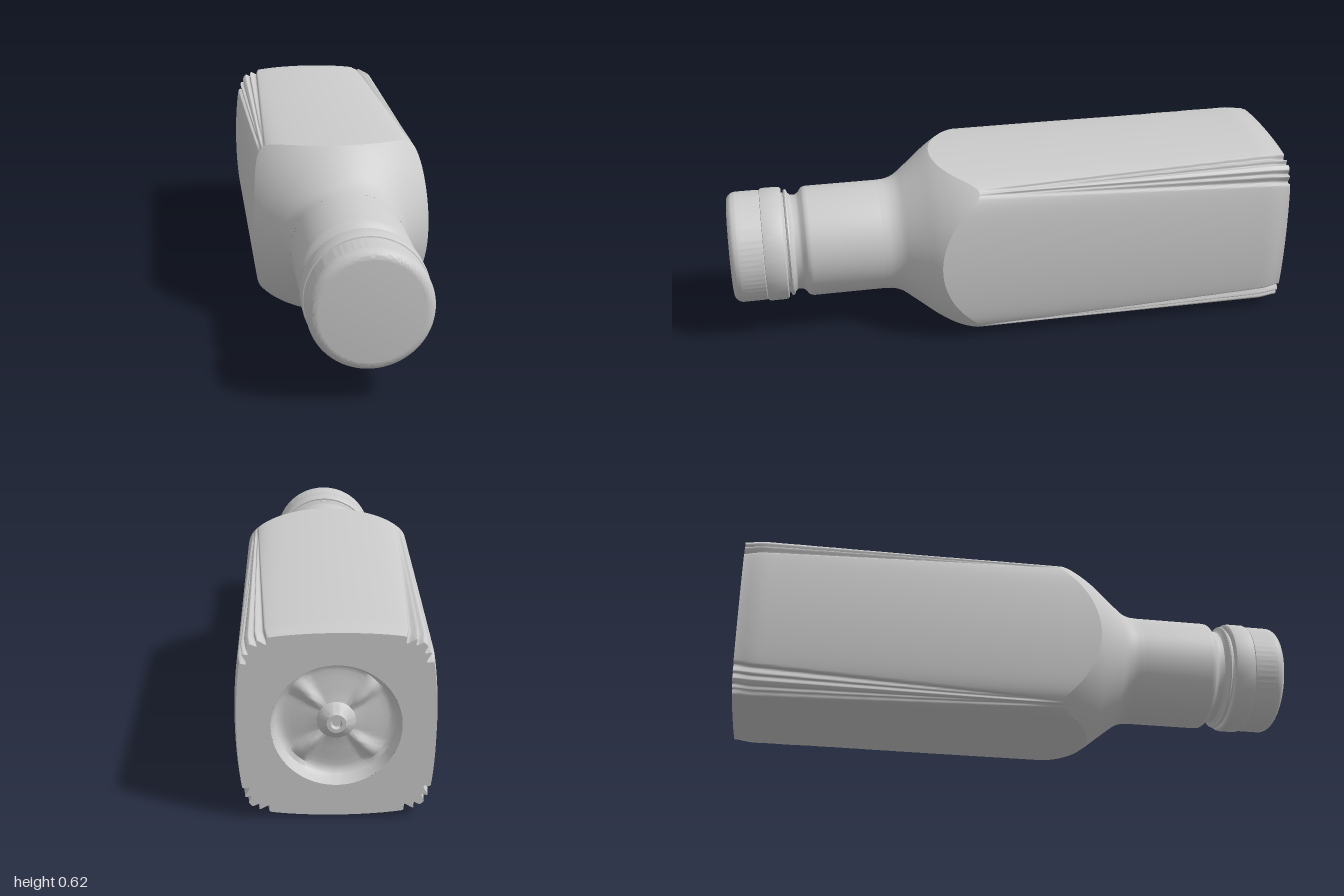
import * as THREE from 'three';
import { toCreasedNormals } from 'three/addons/utils/BufferGeometryUtils.js';

const CY = 0.312; // height of the bottle axis
const material = new THREE.MeshStandardMaterial({ color: 0xcccccc });
const { clamp, lerp, smoothstep } = THREE.MathUtils;

// Angles round the axis, packed closely near the four corners.
const PER = 112;
const cornerAngles = [];
for (let q = 0; q < 4; q++) {
  for (let i = 0; i < PER; i++) {
    const u = (i / PER) * 2 - 1;
    cornerAngles.push((q + 0.5 + 0.5 * Math.sign(u) * u * u) * Math.PI / 2);
  }
}
const evenAngles = n => Array.from({ length: n }, (_, i) => i / n * Math.PI * 2);

// Closed skin from rings: point(row, angle) gives [radius, z].
function skin(name, rows, angles, point, crease = 0) {
  const n = angles.length, pos = [], index = [];
  for (let i = 0; i < rows; i++) {
    for (const a of angles) {
      const [r, z] = point(i, a);
      pos.push(r * Math.cos(a), r * Math.sin(a), z);
    }
  }
  for (let i = 0; i < rows - 1; i++) {
    for (let j = 0; j < n; j++) {
      const a = i * n + j, b = i * n + (j + 1) % n;
      index.push(a, b, a + n, b, b + n, a + n);
    }
  }
  let g = new THREE.BufferGeometry();
  g.setAttribute('position', new THREE.Float32BufferAttribute(pos, 3));
  g.setIndex(index);
  if (crease) g = toCreasedNormals(g, crease);
  else g.computeVertexNormals();
  const mesh = new THREE.Mesh(g, material);
  mesh.name = name;
  return mesh;
}

// Rounded square section with gently bulged sides.
function sectionRadius(a) {
  const side = (c, s) => {
    const k = 0.3 * s * s;
    return k < 1e-6 ? 0.312 / c : (-c + Math.sqrt(c * c + 4 * k * 0.312)) / (2 * k);
  };
  const c = Math.abs(Math.cos(a)), s = Math.abs(Math.sin(a)), p = 12;
  return (side(c, s) ** -p + side(s, c) ** -p) ** (-1 / p);
}

// Body radius with tapering grooves along the corners and a slight inset at the base.
function bodyRadius(a, z) {
  const t = clamp((0.13 - z) / 1.13, 0, 1);
  const quarter = Math.PI / 2;
  const d = Math.abs((a % quarter) - quarter / 2) * 180 / Math.PI;
  const dip = (c, w) => Math.max(0, 1 - ((d - c) / w) ** 2) ** 2;
  const grooves = dip(1.2 + 6 * t, 0.9 + 1.4 * t) + 0.8 * dip(0.7 + 2.3 * t, 0.6 + 1.2 * t);
  const depth = (0.006 + 0.01 * t) * smoothstep(t, 0, 0.1);
  const foot = smoothstep(-z, 0.93, 1);
  return sectionRadius(a) - grooves * depth * (1 + 0.5 * foot) - 0.008 * foot;
}

// Shoulder profile as [z, r], sampled from a smooth curve.
const shoulder = new THREE.CatmullRomCurve3([
  [0.08, 0.398], [0.15, 0.377], [0.21, 0.35], [0.27, 0.312], [0.32, 0.272],
  [0.365, 0.236], [0.395, 0.214], [0.425, 0.203], [0.46, 0.2],
].map(([z, r]) => new THREE.Vector3(z, r, 0))).getPoints(120);

// Interpolate along the shoulder: find one coordinate from the other.
function onShoulder(from, value, to) {
  for (let i = 1; i < shoulder.length; i++) {
    const p = shoulder[i - 1], q = shoulder[i];
    if ((p[from] - value) * (q[from] - value) <= 0 && p[from] !== q[from]) {
      return lerp(p[to], q[to], (value - p[from]) / (q[from] - p[from]));
    }
  }
  return shoulder[shoulder.length - 1][to];
}
const shoulderEdge = new Map(cornerAngles.map(a => [a, onShoulder('y', sectionRadius(a), 'x')]));

// Turned part from [radius, z] points.
const turned = (name, points, segments = 96, shape = (r, z) => r) =>
  skin(name, points.length, evenAngles(segments), (i, a) => {
    const [r, z] = points[i];
    return [shape(r, z, a), z];
  }, 0.6);

export function createModel() {
  const bottle = new THREE.Group();
  bottle.name = 'bottle';
  const axis = new THREE.Group();
  axis.name = 'bottleParts';
  axis.position.y = CY;
  bottle.add(axis);

  // Square body, up to the curved edge where the shoulder starts
  const bodyRows = 30;
  axis.add(skin('body', bodyRows, cornerAngles, (i, a) => {
    const z = lerp(-1, shoulderEdge.get(a), (i / (bodyRows - 1)) ** 1.6);
    return [bodyRadius(a, z), z];
  }));

  // Round shoulder cut by the four sides
  const shoulderRows = 28;
  axis.add(skin('shoulder', shoulderRows, cornerAngles, (i, a) => {
    const edge = shoulderEdge.get(a);
    if (i === 0) return [sectionRadius(a), edge];
    const z = lerp(edge, 0.46, i / (shoulderRows - 1));
    return [onShoulder('x', z, 'y'), z];
  }));

  // Flat foot around the recess
  axis.add(skin('foot', 2, cornerAngles, (i, a) => [i ? bodyRadius(a, -1) : 0.2, -1]));

  // Recess in the base: ringed centre boss, lobed floor, steep wall
  const recess = [
    [0, -0.972], [0.014, -0.972], [0.018, -0.985], [0.03, -0.985], [0.036, -0.975],
    [0.052, -0.968], [0.06, -0.955], [0.08, -0.95], [0.1, -0.947], [0.12, -0.944],
    [0.14, -0.941], [0.16, -0.939], [0.175, -0.94], [0.188, -0.95], [0.195, -0.975], [0.2, -1],
  ];
  axis.add(skin('baseRecess', recess.length, evenAngles(128), (i, a) => {
    const [r, z] = recess[i];
    const span = smoothstep(r, 0.05, 0.1) * (1 - smoothstep(r, 0.15, 0.19));
    const rib = Math.max(0, -Math.cos(4 * a)) ** 4;
    return [r, z - 0.018 * rib * span];
  }, 0.7));

  // Neck with a narrowed throat and a thin collar
  axis.add(turned('neck', [
    [0.2, 0.46], [0.2, 0.715], [0.198, 0.727], [0.192, 0.735], [0.178, 0.745],
    [0.172, 0.755], [0.172, 0.772], [0.18, 0.781], [0.192, 0.786],
    [0.194, 0.791], [0.19, 0.796], [0.182, 0.798], [0.182, 0.815],
  ]));

  // Tamper band below the cap
  axis.add(turned('capBand', [
    [0.18, 0.804], [0.197, 0.804], [0.203, 0.809], [0.205, 0.82],
    [0.205, 0.872], [0.202, 0.88], [0.194, 0.882],
  ]));

  // Cap with fine grip ribs and a rounded front edge
  const cap = [[0.194, 0.879], [0.199, 0.884], [0.2, 0.9], [0.2, 0.95], [0.2, 0.967]];
  for (let i = 1; i <= 8; i++) {
    const t = i / 8 * Math.PI / 2;
    cap.push([0.168 + 0.032 * Math.cos(t), 0.967 + 0.033 * Math.sin(t)]);
  }
  cap.push([0, 1]);
  axis.add(turned('cap', cap, 240, (r, z, a) =>
    z > 0.89 && z < 0.96 ? r - 0.0012 * (0.5 + 0.5 * Math.cos(60 * a)) : r));

  return bottle;
}
